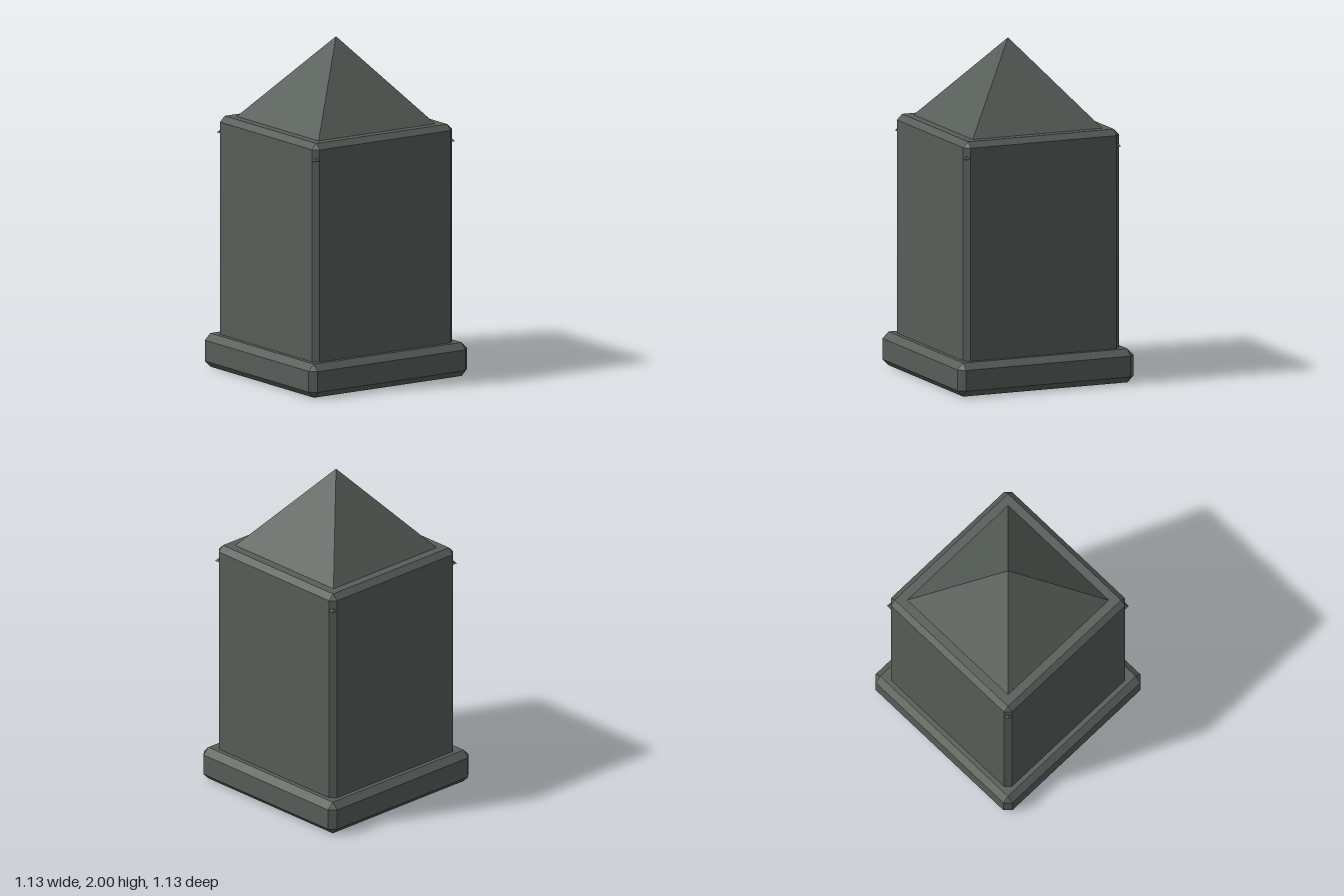
import * as THREE from 'three';
import { ConvexGeometry } from 'three/addons/geometries/ConvexGeometry.js';

// Box standing on y0 with every edge cut by one flat chamfer
function chamferedBox(half, y0, y1, cut) {
  const size = [half, (y1 - y0) / 2, half];
  const points = [];
  for (const sx of [-1, 1]) for (const sy of [-1, 1]) for (const sz of [-1, 1]) {
    for (let full = 0; full < 3; full++) {
      const [x, y, z] = size.map((s, i) => (i === full ? s : s - cut));
      points.push(new THREE.Vector3(sx * x, sy * y, sz * z));
    }
  }
  return new ConvexGeometry(points).translate(0, (y0 + y1) / 2, 0);
}

export function createModel() {
  const stone = new THREE.MeshStandardMaterial({ color: 0x575d58 });
  stone.name = 'dark stone';

  const group = new THREE.Group();
  group.name = 'stone pillar';
  const add = (name, geometry) => {
    const mesh = new THREE.Mesh(geometry, stone);
    mesh.name = name;
    group.add(mesh);
  };

  // Plinth and shaft; the shaft is sunk into the plinth
  add('plinth', chamferedBox(0.565, 0, 0.2, 0.038));
  add('shaft', chamferedBox(0.5, 0.1, 1.5, 0.033));

  // Pyramid cap, sunk into the shaft so its corners just poke through the chamfers
  const h = 0.499;
  add('pyramidCap', new ConvexGeometry([
    new THREE.Vector3(-h, 1.4, -h), new THREE.Vector3(h, 1.4, -h),
    new THREE.Vector3(h, 1.4, h), new THREE.Vector3(-h, 1.4, h),
    new THREE.Vector3(0, 2, 0),
  ]));

  return group;
}
